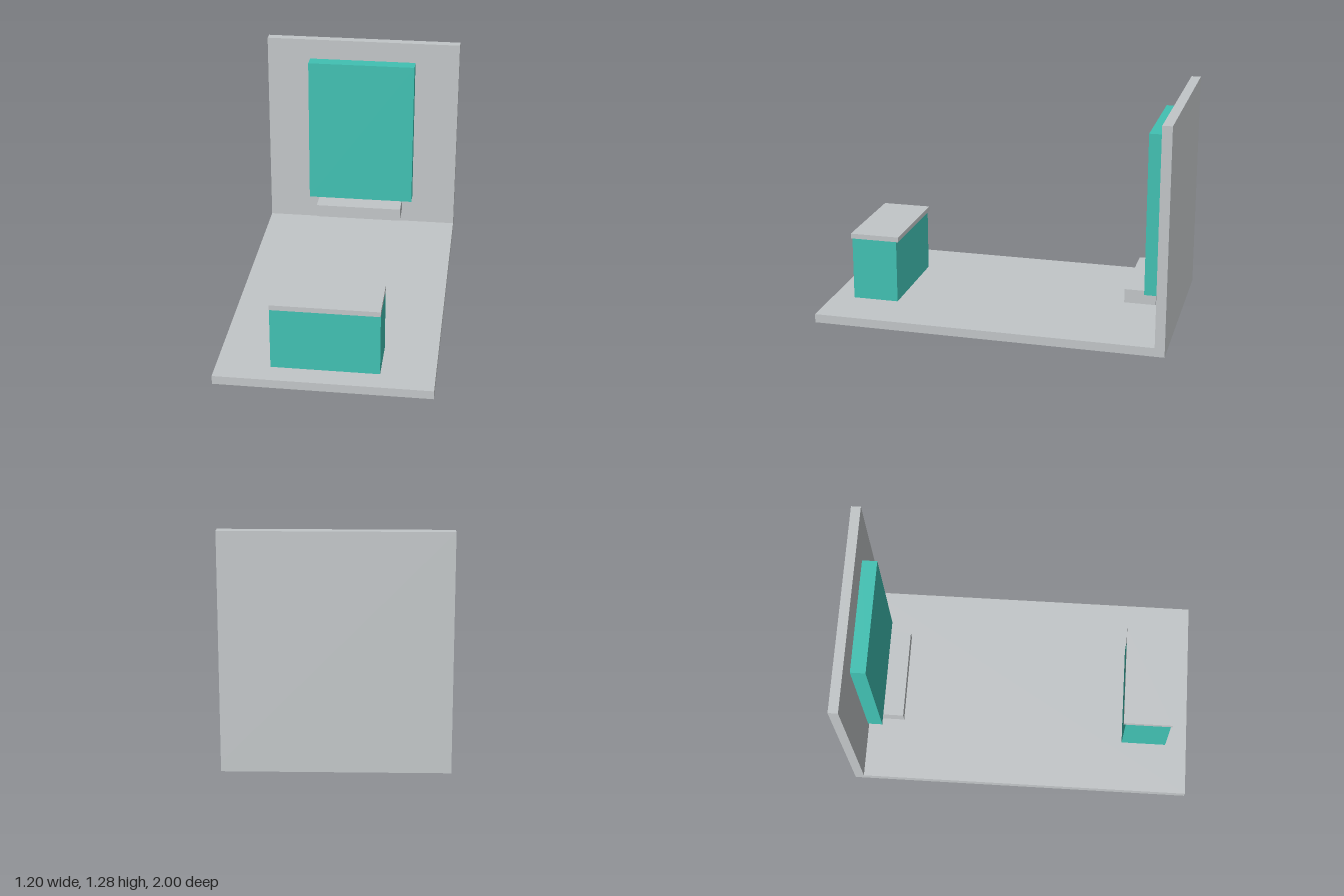
import * as THREE from 'three';

export function createModel() {
  const model = new THREE.Group();
  model.name = 'boothDisplay';

  const grey = new THREE.MeshStandardMaterial({ color: 0xc2c6c8 });
  grey.name = 'light grey';
  const teal = new THREE.MeshStandardMaterial({ color: 0x41c1b3 });
  teal.name = 'teal';

  // Box centred on x, given its width and its y and z limits
  function addBox(name, material, width, [y0, y1], [z0, z1]) {
    const mesh = new THREE.Mesh(new THREE.BoxGeometry(width, y1 - y0, z1 - z0), material);
    mesh.position.set(0, (y0 + y1) / 2, (z0 + z1) / 2);
    mesh.name = name;
    model.add(mesh);
  }

  // Floor and back wall
  addBox('floor', grey, 1.2, [0, 0.05], [-1, 1]);
  addBox('backWall', grey, 1.2, [0.05, 1.28], [-1, -0.945]);

  // Hanging panel with the ledge below it
  addBox('wallPanel', teal, 0.66, [0.242, 1.162], [-0.925, -0.84]);
  addBox('ledge', grey, 0.535, [0.163, 0.242], [-0.897, -0.72]);

  // Counter, its body let through the floor, and its overhanging top
  addBox('counterBody', teal, 0.6, [0, 0.415], [0.607, 0.873]);
  addBox('counterTop', grey, 0.6, [0.415, 0.444], [0.595, 0.882]);

  return model;
}
